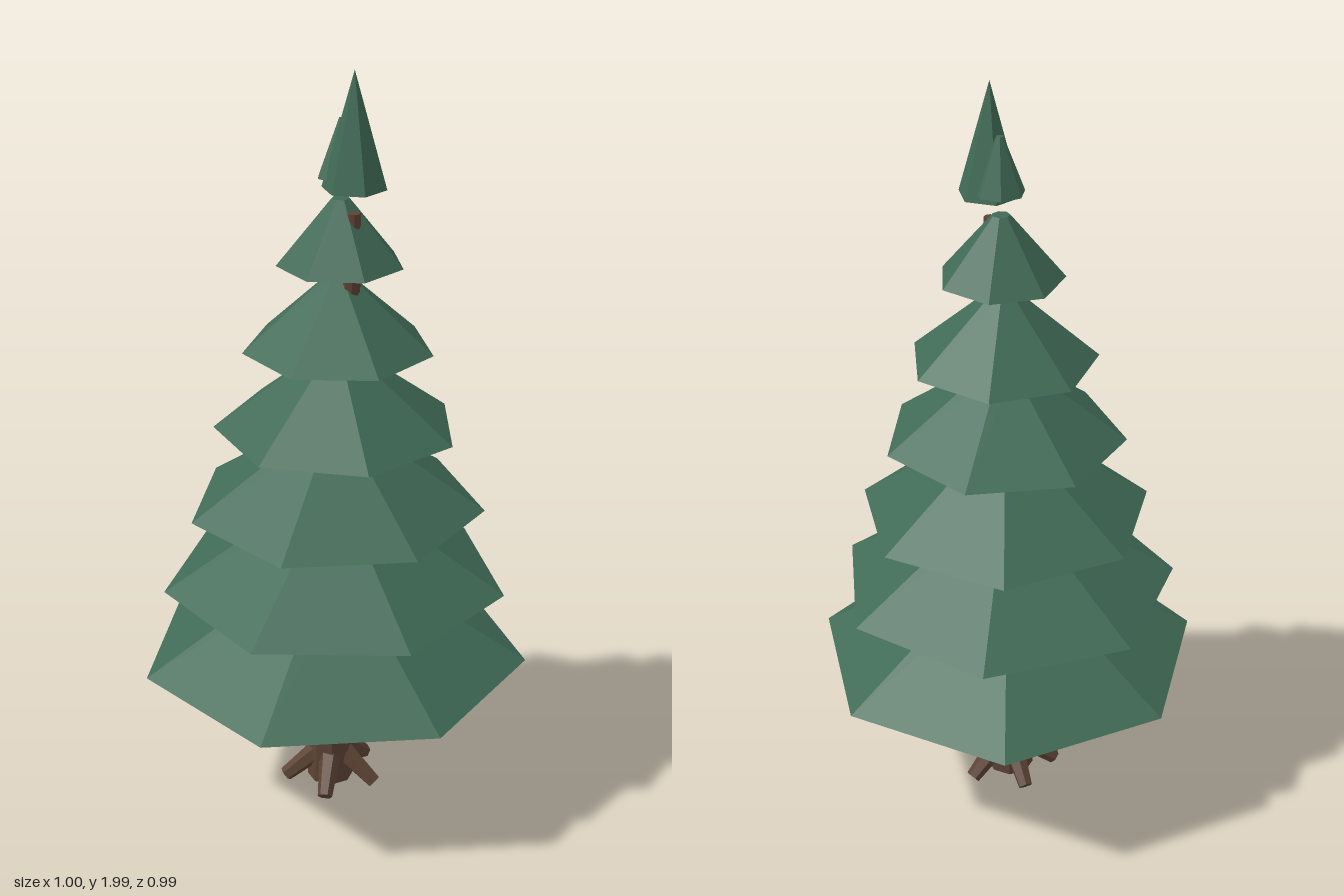
import * as THREE from 'three';

const rad = THREE.MathUtils.degToRad;

export function createModel() {
  const tree = new THREE.Group();
  tree.name = 'pineTree';

  const needles = new THREE.MeshStandardMaterial({ color: 0x406a56, flatShading: true });
  needles.name = 'needle green';
  const bark = new THREE.MeshStandardMaterial({ color: 0x5c4234, flatShading: true });
  bark.name = 'bark brown';

  const add = (name, geometry, material) => {
    const mesh = new THREE.Mesh(geometry, material);
    mesh.name = name;
    tree.add(mesh);
    return mesh;
  };

  // Trunk: a tapering column that leans towards the tip; rows of x, y, z, radius
  const rows = [
    [0, 0.015, 0.018, 0.063],
    [0.003, 0.345, 0.014, 0.057],
    [0.012, 0.66, 0.014, 0.049],
    [0.03, 0.97, 0.015, 0.039],
    [0.054, 1.28, 0.017, 0.027],
    [0.074, 1.49, 0.02, 0.022],
    [0.087, 1.655, 0.027, 0.016],
  ];
  const steps = rows.length - 1;
  const trunk = new THREE.CylinderGeometry(1, 1, 1, 8, steps);
  const p = trunk.attributes.position;
  for (let i = 0; i < p.count; i++) {
    const [x, y, z, r] = rows[Math.round((p.getY(i) + 0.5) * steps)];
    p.setXYZ(i, x + p.getX(i) * r, y, z + p.getZ(i) * r);
  }
  trunk.computeVertexNormals();
  add('trunk', trunk, bark);

  // Roots: five tapering stubs splayed out from the trunk base
  const up = new THREE.Vector3(0, 1, 0);
  for (let i = 0; i < 5; i++) {
    const a = rad(33 + i * 72);
    const at = (r, y) => new THREE.Vector3(0.004 + r * Math.sin(a), y, 0.015 + r * Math.cos(a));
    const inner = at(0.025, 0.105);
    const outer = at(0.13, 0.022);
    const direction = inner.clone().sub(outer);
    const root = add('root' + (i + 1),
      new THREE.CylinderGeometry(0.031, 0.02, direction.length(), 6), bark);
    root.position.copy(inner).add(outer).multiplyScalar(0.5);
    root.quaternion.setFromUnitVectors(up, direction.normalize());
  }

  // Branch tiers: seven-sided frustums; x, base y, z, radius, height, turn
  const tiers = [
    [0.01, 0.42, 0.015, 0.515, 0.275, 175.5],
    [0.013, 0.64, 0.014, 0.453, 0.25, 168.9],
    [0.018, 0.858, 0.015, 0.386, 0.228, 175.7],
    [0.023, 1.077, 0.016, 0.315, 0.205, 158.5],
    [0.028, 1.294, 0.017, 0.243, 0.185, 168],
    [0.034, 1.515, 0.016, 0.16, 0.165, 165.5],
    [0.04, 1.735, 0.017, 0.063, 0.142, 179],
  ];
  tiers.forEach(([x, y, z, r, h, turn], i) => {
    const tier = add('branchTier' + (i + 1),
      new THREE.CylinderGeometry(r * 0.14, r, h, 7), needles);
    tier.position.set(x, y + h / 2, z);
    tier.rotation.y = rad(turn);
  });

  // Pointed tip
  const tip = add('tip', new THREE.ConeGeometry(0.08, 0.284, 6), needles);
  tip.position.set(0.086, 1.858, 0.026);

  return tree;
}
